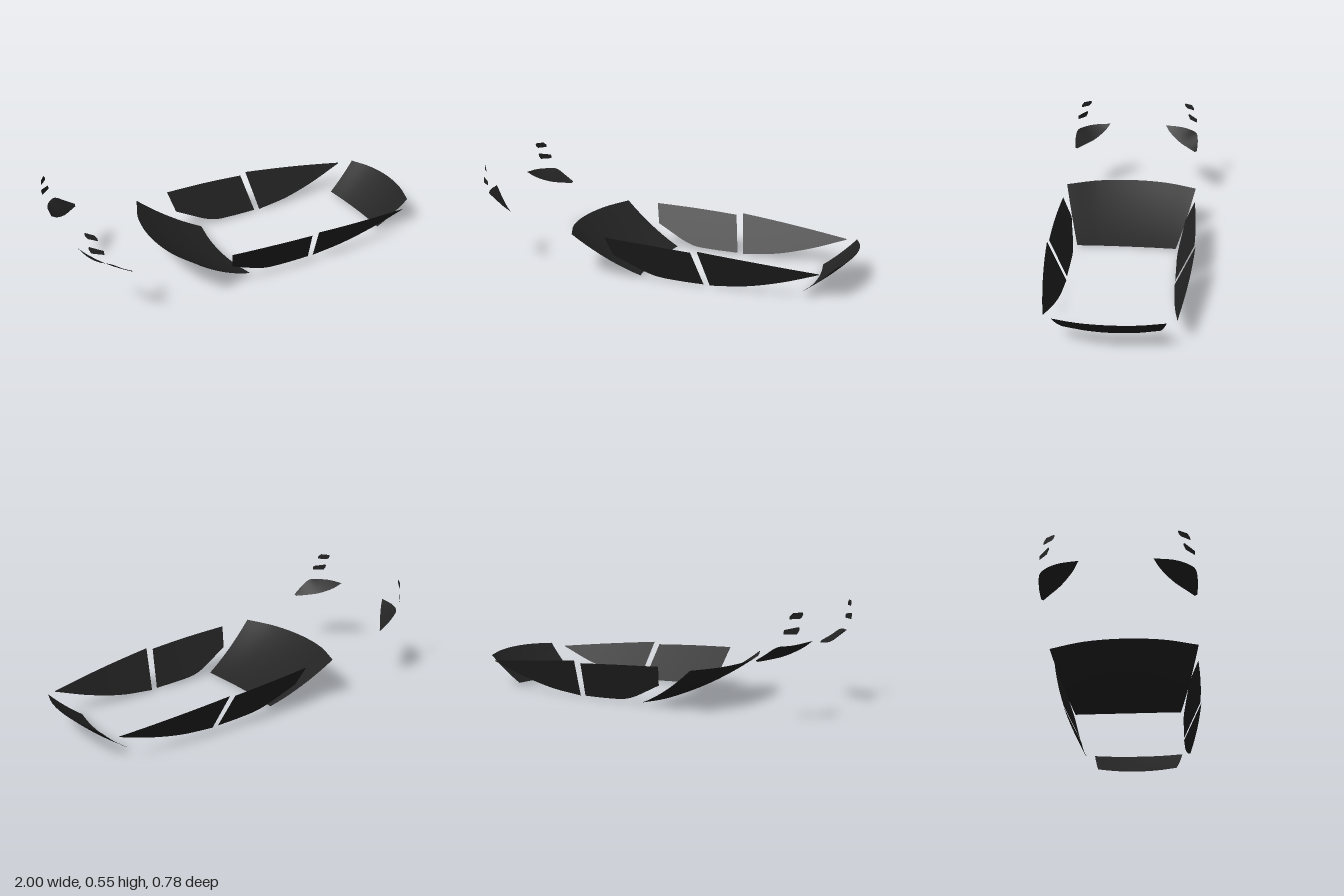
import * as THREE from 'three';

const glass = new THREE.MeshStandardMaterial({ color: 0x232323, side: THREE.DoubleSide });
glass.name = 'darkGlass';

// Smooth curve through a few points
const curve = (pts) => new THREE.CatmullRomCurve3(pts.map((p) => new THREE.Vector3(...p)), false, 'centripetal');

// Smooth surface between two edge curves; rule(point, u, v) may bend it
function loft(edgeA, edgeB, rule = () => {}, nu = 28, nv = 10) {
  const a = curve(edgeA), b = curve(edgeB), pos = [], index = [];
  for (let i = 0; i <= nu; i++) {
    const pa = a.getPoint(i / nu), pb = b.getPoint(i / nu);
    for (let j = 0; j <= nv; j++) {
      const p = pa.clone().lerp(pb, j / nv);
      rule(p, i / nu, j / nv);
      pos.push(p.x, p.y, p.z);
      if (i < nu && j < nv) {
        const k = i * (nv + 1) + j, n = k + nv + 1;
        index.push(k, k + 1, n, k + 1, n + 1, n);
      }
    }
  }
  const g = new THREE.BufferGeometry();
  g.setAttribute('position', new THREE.Float32BufferAttribute(pos, 3));
  g.setIndex(index);
  g.computeVertexNormals();
  return g;
}

// Small flat outline in (z, y), wrapped around the nose by a rule for x
function nosePlate(outline, xAt) {
  const shape = new THREE.Shape(outline.map(([z, y]) => new THREE.Vector2(z, y)));
  const g = new THREE.ShapeGeometry(shape);
  const p = g.attributes.position;
  for (let i = 0; i < p.count; i++) {
    const z = p.getX(i);
    p.setXYZ(i, xAt(z), p.getY(i), z);
  }
  g.computeVertexNormals();
  return g;
}

export function createModel() {
  const model = new THREE.Group();
  model.name = 'carGlass';

  const add = (name, geometry, side = 1) => {
    const m = new THREE.Mesh(geometry, glass);
    m.name = name;
    m.scale.z = side;
    model.add(m);
  };

  // Windscreen and rear window, bowed across the width and slightly along the slope
  const sag = (amount) => (p, u, v) => { p.y -= amount * 4 * v * (1 - v); };
  add('windscreen', loft(
    [[-0.44, 0.23, -0.376], [-0.512, 0.228, -0.2], [-0.537, 0.227, 0], [-0.512, 0.228, 0.2], [-0.44, 0.23, 0.376]],
    [[-0.092, 0.013, -0.277], [-0.112, 0.005, -0.14], [-0.119, 0.002, 0], [-0.112, 0.005, 0.14], [-0.092, 0.013, 0.277]],
    sag(0.018)));
  add('rearWindow', loft(
    [[0.944, 0.169, -0.272], [0.986, 0.177, -0.14], [1, 0.18, 0], [0.986, 0.177, 0.14], [0.944, 0.169, 0.272]],
    [[0.773, 0.019, -0.235], [0.789, 0.011, -0.12], [0.794, 0.008, 0], [0.789, 0.011, 0.12], [0.773, 0.019, 0.235]],
    sag(0.008)));

  // Side windows lie on one sloping, gently curved body side
  const bodySide = (p) => { p.z = 0.283 + 0.49 * p.y - 0.09 * (p.x - 0.25) ** 2; };
  const frontDoor = loft(
    [[-0.253, 0.232, 0], [0, 0.22, 0], [0.227, 0.206, 0]],
    [[-0.225, 0.125, 0], [-0.14, 0.083, 0], [-0.06, 0.045, 0], [0.01, 0.023, 0], [0.12, 0.014, 0], [0.267, 0.011, 0]],
    bodySide);
  const rearDoor = loft(
    [[0.264, 0.217, 0], [0.57, 0.185, 0], [0.877, 0.15, 0]],
    [[0.3, 0.008, 0], [0.49, 0.03, 0], [0.68, 0.077, 0], [0.877, 0.146, 0]],
    bodySide);

  // Headlamp cover sweeping round the nose corner
  const headlamp = loft(
    [[-1, 0.4, 0.173], [-0.985, 0.397, 0.27], [-0.955, 0.392, 0.33], [-0.91, 0.387, 0.367], [-0.85, 0.347, 0.376], [-0.8, 0.315, 0.372]],
    [[-1, 0.4, 0.173], [-0.963, 0.367, 0.203], [-0.9, 0.331, 0.263], [-0.845, 0.315, 0.32], [-0.803, 0.307, 0.36]]);

  // Two small lamps by the nose corner
  const lowerLamp = nosePlate(
    [[0.366, 0.448], [0.324, 0.448], [0.314, 0.468], [0.313, 0.478], [0.317, 0.482], [0.365, 0.47]],
    (z) => -0.995 + 0.6 * (z - 0.313) + 9 * (z - 0.313) ** 2);
  const upperLamp = nosePlate(
    [[0.346, 0.519], [0.304, 0.519], [0.294, 0.527], [0.288, 0.539], [0.291, 0.548], [0.333, 0.548], [0.345, 0.532]],
    (z) => -1 + 0.45 * (z - 0.288) + 5 * (z - 0.288) ** 2);

  for (const [label, side] of [['front', 1], ['back', -1]]) {
    add(label + 'SideFrontDoorWindow', frontDoor, side);
    add(label + 'SideRearDoorWindow', rearDoor, side);
    add(label + 'SideHeadlamp', headlamp, side);
    add(label + 'SideLowerLamp', lowerLamp, side);
    add(label + 'SideUpperLamp', upperLamp, side);
  }
  return model;
}
